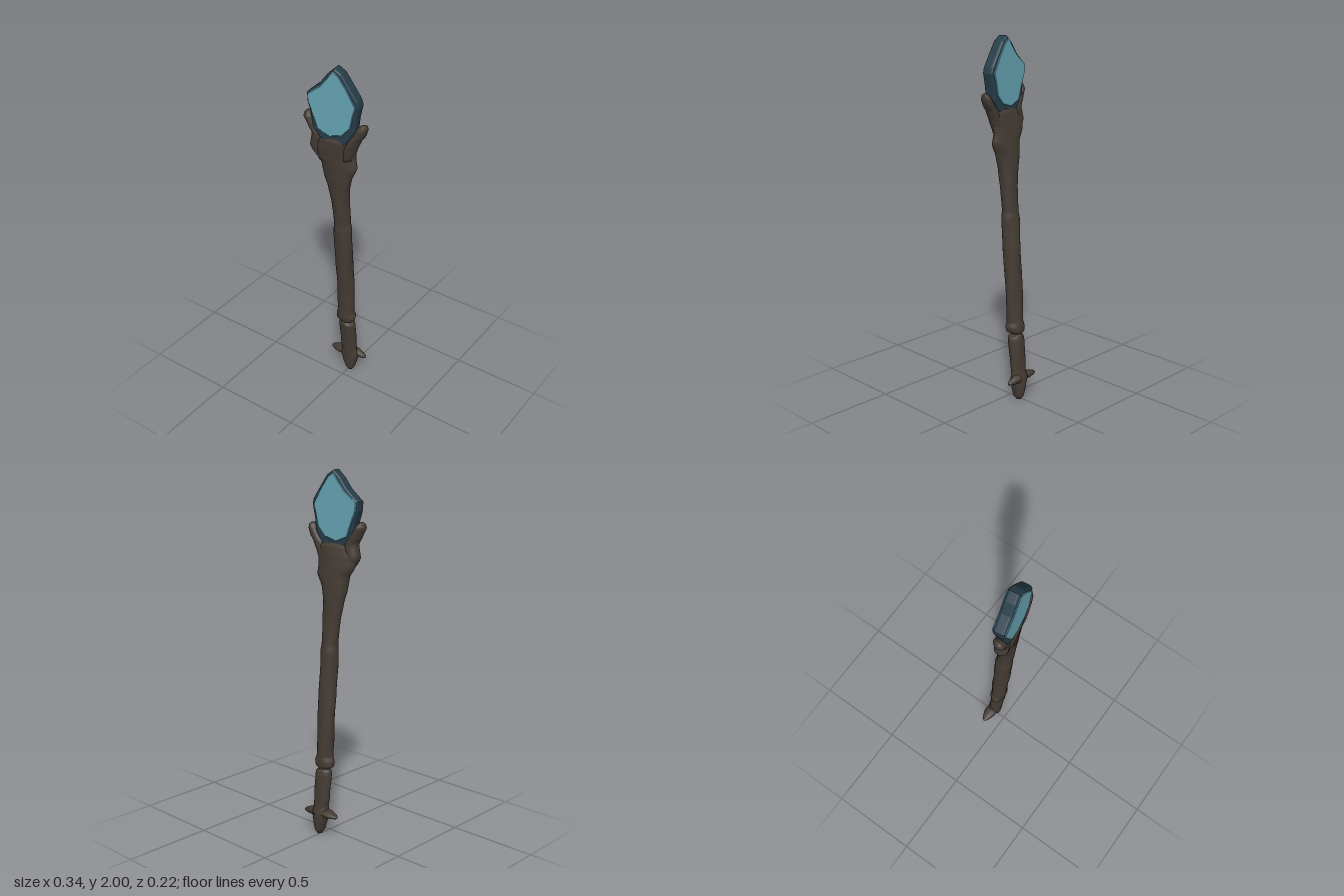
import * as THREE from 'three';

const wood = new THREE.MeshStandardMaterial({ color: 0x443b33 });
wood.name = 'darkWood';
const gemDark = new THREE.MeshStandardMaterial({ color: 0x263d49 });
gemDark.name = 'deepBlue';
const gemLight = new THREE.MeshStandardMaterial({ color: 0x65a3b3 });
gemLight.name = 'paleBlue';

const YAW = 0.14;

// Closed loft through horizontal sections [y, centreX, centreZ, radiusX, radiusZ]
function loft(name, sections, bark = 0.05, yaw = () => 0) {
  const N = 24, STEPS = 4, pos = [], idx = [], rows = [];
  sections.forEach((s, i) => {
    const next = sections[i + 1];
    if (!next) return rows.push(s);
    for (let k = 0; k < STEPS; k++) {
      const t = k / STEPS, e = t * t * (3 - 2 * t) * 0.5 + t * 0.5;
      rows.push(s.map((v, j) => (j ? v + (next[j] - v) * e : v + (next[j] - v) * t)));
    }
  });
  for (const [y, cx, cz, rx, rz] of rows) {
    for (let i = 0; i < N; i++) {
      const a = (i / N) * Math.PI * 2;
      const w = 1 + bark * Math.sin(3 * a + y * 14) + bark * 0.4 * Math.sin(5 * a - y * 31);
      const x = cx + Math.cos(a) * rx * w;
      pos.push(x, y, cz + Math.sin(a) * rz * w - x * yaw(y));
    }
  }
  const R = rows.length;
  for (let r = 0; r < R - 1; r++) {
    for (let i = 0; i < N; i++) {
      const j = (i + 1) % N, a = r * N + i, b = r * N + j;
      idx.push(a, a + N, b, b, a + N, b + N);
    }
  }
  for (const [r, flip] of [[0, false], [R - 1, true]]) {
    const [y, cx, cz] = rows[r], c = pos.length / 3;
    pos.push(cx, y, cz - cx * yaw(y));
    for (let i = 0; i < N; i++) {
      const a = r * N + i, b = r * N + ((i + 1) % N);
      idx.push(...(flip ? [c, b, a] : [c, a, b]));
    }
  }
  const g = new THREE.BufferGeometry();
  g.setAttribute('position', new THREE.Float32BufferAttribute(pos, 3));
  g.setIndex(idx);
  g.computeVertexNormals();
  const m = new THREE.Mesh(g, wood);
  m.name = name;
  return m;
}

function extrude(name, points, z, options, material) {
  const shape = new THREE.Shape(points.map(([x, y]) => new THREE.Vector2(x, y)));
  const g = new THREE.ExtrudeGeometry(shape, { steps: 1, ...options });
  g.translate(0, 0, z);
  const m = new THREE.Mesh(g, material);
  m.name = name;
  return m;
}

export function createModel() {
  const staff = new THREE.Group();
  staff.name = 'staff';
  const headYaw = (y) => YAW * THREE.MathUtils.smoothstep(y, 1.3, 1.55);

  // Leaning shaft: rounded foot, cracked neck, ring, long handle, swelling head
  staff.add(loft('shaft', [
    [0.005, 0.01, -0.07, 0.012, 0.015], [0.03, 0.01, -0.07, 0.028, 0.031],
    [0.08, 0.008, -0.069, 0.042, 0.038], [0.13, 0.005, -0.067, 0.055, 0.038],
    [0.17, 0.006, -0.061, 0.044, 0.036], [0.22, 0.003, -0.056, 0.049, 0.036],
    [0.35, 0.004, -0.045, 0.05, 0.038], [0.37, 0.004, -0.042, 0.048, 0.037],
    [0.385, -0.005, -0.041, 0.028, 0.03], [0.405, 0, -0.04, 0.056, 0.042],
    [0.43, 0.003, -0.038, 0.06, 0.044], [0.46, 0.003, -0.036, 0.048, 0.042],
    [0.6, 0.003, -0.028, 0.05, 0.043], [0.85, 0.003, -0.012, 0.05, 0.046],
    [1.04, 0.003, 0.002, 0.051, 0.047], [1.08, 0.002, 0.005, 0.045, 0.043],
    [1.2, 0, 0.015, 0.05, 0.044], [1.3, -0.005, 0.022, 0.062, 0.045],
    [1.38, -0.006, 0.028, 0.08, 0.047], [1.45, 0.002, 0.033, 0.102, 0.046],
    [1.5, -0.018, 0.038, 0.112, 0.046], [1.55, -0.02, 0.044, 0.118, 0.045],
    [1.6, -0.005, 0.05, 0.11, 0.042], [1.63, 0, 0.052, 0.09, 0.03],
  ], 0.04, headYaw));

  // Two prongs clasping the gem
  staff.add(loft('rightProng', [
    [1.47, -0.08, 0.045, 0.02, 0.025], [1.55, -0.11, 0.048, 0.036, 0.038],
    [1.62, -0.098, 0.052, 0.034, 0.038], [1.67, -0.125, 0.055, 0.03, 0.036],
    [1.71, -0.145, 0.058, 0.028, 0.034], [1.73, -0.15, 0.058, 0.018, 0.024],
    [1.74, -0.152, 0.058, 0.006, 0.008],
  ], 0.03, headYaw));
  staff.add(loft('leftProng', [
    [1.5, 0.06, 0.045, 0.025, 0.03], [1.57, 0.078, 0.05, 0.034, 0.036],
    [1.62, 0.1, 0.052, 0.034, 0.036], [1.66, 0.128, 0.053, 0.032, 0.034],
    [1.69, 0.142, 0.054, 0.028, 0.032], [1.71, 0.15, 0.054, 0.02, 0.024],
    [1.72, 0.152, 0.054, 0.006, 0.008],
  ], 0.03, headYaw));

  // Thorn stubs beside the foot
  const thorn = (name, r, len, x, y, z, turn, flat) => {
    const pts = [[0.95, 0], [1, 0.25], [0.75, 0.6], [0.4, 0.9], [0, 1]]
      .map(([a, b]) => new THREE.Vector2(a * r, b * len));
    const m = new THREE.Mesh(new THREE.LatheGeometry(pts, 16), wood);
    m.name = name;
    m.position.set(x, y, z);
    m.rotation.z = turn;
    m.scale.x = flat;
    staff.add(m);
  };
  thorn('rightThorn', 0.036, 0.09, -0.03, 0.135, -0.067, Math.PI / 2 + 0.08, 0.6);
  thorn('leftThorn', 0.026, 0.085, 0.025, 0.14, -0.085, -Math.PI / 2 - 0.2, 0.95);

  // Splinter on the ring
  const splinter = new THREE.Mesh(new THREE.ConeGeometry(0.014, 0.05, 8), wood);
  splinter.name = 'splinter';
  splinter.position.set(0.045, 0.45, -0.04);
  splinter.rotation.z = -0.15;
  staff.add(splinter);

  // Gem: dark bevelled body with pale faces on both sides
  const gem = new THREE.Group();
  gem.name = 'gem';
  gem.position.z = 0.054;
  gem.rotation.y = YAW;
  const bevel = 0.012;
  const body = [
    [0.005, 1.988], [-0.03, 1.955], [-0.07, 1.9], [-0.138, 1.84], [-0.136, 1.8],
    [-0.115, 1.73], [-0.11, 1.66], [-0.05, 1.6], [0.05, 1.6], [0.105, 1.68],
    [0.112, 1.75], [0.127, 1.82], [0.12, 1.845], [0.08, 1.905], [0.035, 1.97],
  ];
  gem.add(extrude('gemBody', body, -0.018, {
    depth: 0.036, bevelThickness: 0.014, bevelSize: bevel, bevelSegments: 3,
  }, gemDark));
  const face = [
    [0, 1.985], [-0.03, 1.945], [-0.07, 1.895], [-0.14, 1.84], [-0.136, 1.8],
    [-0.108, 1.73], [-0.085, 1.665], [-0.02, 1.637], [0.05, 1.658], [0.092, 1.705],
    [0.105, 1.77], [0.12, 1.82], [0.075, 1.9], [0.03, 1.965],
  ];
  const plate = { depth: 0.003, bevelThickness: 0.003, bevelSize: 0.003, bevelSegments: 1 };
  gem.add(extrude('frontFace', face, 0.031, plate, gemLight));
  gem.add(extrude('backFace', face, -0.034, plate, gemLight));
  staff.add(gem);

  return staff;
}
